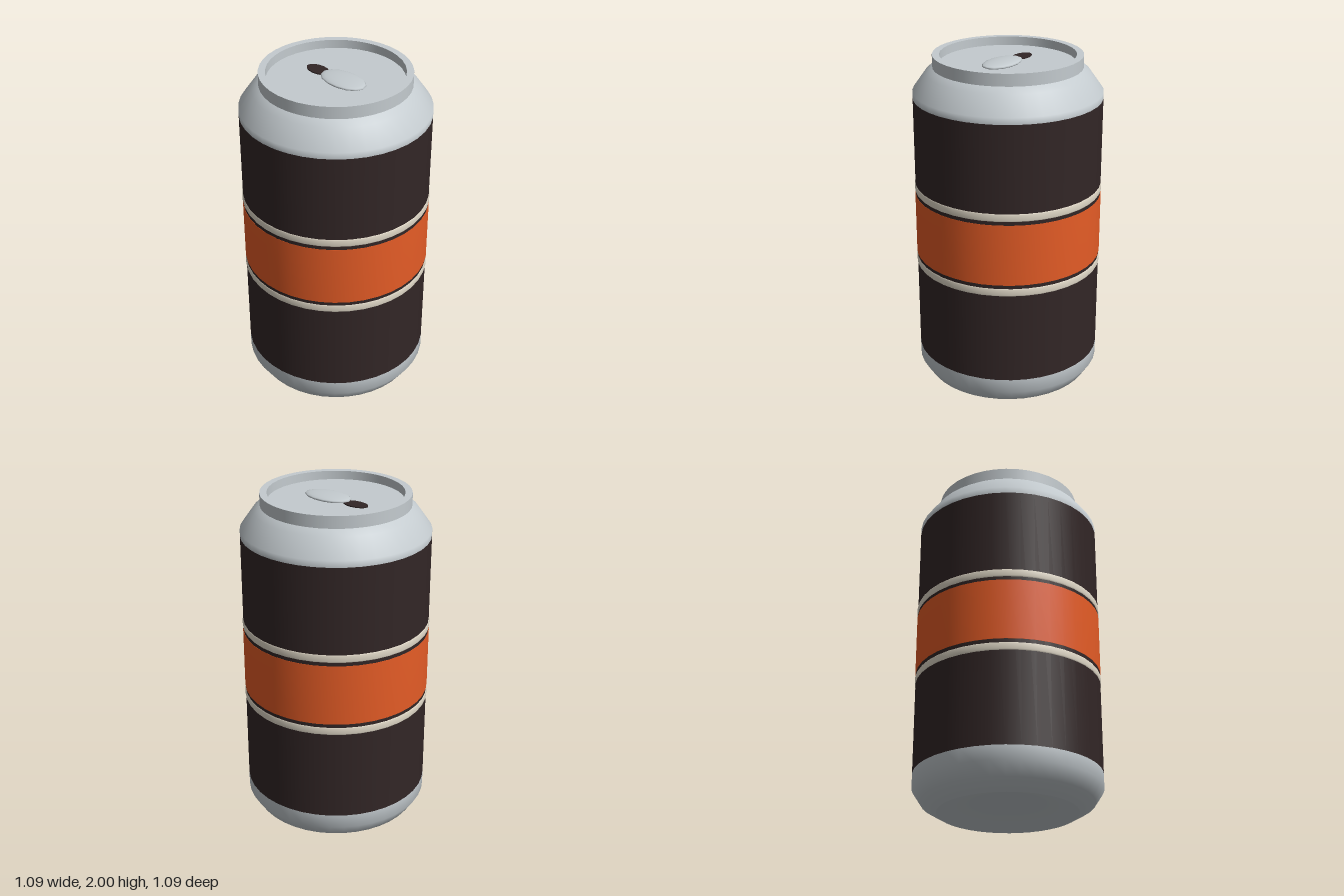
import * as THREE from 'three';

const SEGMENTS = 40;

function material(name, color) {
  const m = new THREE.MeshStandardMaterial({ color });
  m.name = name;
  return m;
}

export function createModel() {
  const can = new THREE.Group();
  can.name = 'drinkCan';

  const silver = material('silver', 0xc4cbcf);
  const dark = material('dark brown', 0x322626);
  const orange = material('orange', 0xe55c26);
  const cream = material('cream', 0xe2dac9);

  function add(name, geometry, mat) {
    const mesh = new THREE.Mesh(geometry, mat);
    mesh.name = name;
    can.add(mesh);
    return mesh;
  }

  // Turned surface from [radius, height] points, smooth along its profile
  function turned(name, profile, mat) {
    const points = profile.map(([r, y]) => new THREE.Vector2(r, y));
    return add(name, new THREE.LatheGeometry(points, SEGMENTS), mat);
  }

  // Concave base and rounded lower edge
  turned('baseDome', [[0, 0.08], [0.15, 0.07], [0.29, 0.04], [0.4, 0]], silver);
  turned('lowerEdge', [[0.4, 0], [0.49, 0.053], [0.54, 0.13], [0.54, 0.212]], silver);

  // Painted wall
  turned('wall', [[0.54, 0.212], [0.54, 1.757]], dark);

  // Wide band with a narrow stripe above and below
  turned('band', [[0.539, 0.822], [0.543, 0.822], [0.543, 1.184], [0.539, 1.184]], orange);
  for (const [name, y] of [['lowerStripe', 0.753], ['upperStripe', 1.204]]) {
    turned(name, [[0.539, y], [0.544, y + 0.008], [0.544, y + 0.04], [0.539, y + 0.048]], cream);
  }

  // Tapered shoulder
  turned('shoulder', [[0.54, 1.757], [0.54, 1.795], [0.465, 1.9], [0.425, 1.93]], silver);

  // Rim, with separate faces for sharp edges
  turned('rimOuter', [[0.425, 1.93], [0.425, 2]], silver);
  turned('rimTop', [[0.425, 2], [0.385, 2]], silver);
  turned('rimInner', [[0.385, 2], [0.385, 1.95]], silver);

  // Recessed lid
  turned('lid', [[0.385, 1.95], [0, 1.95]], silver);

  // Drinking opening
  const opening = add('opening', new THREE.CylinderGeometry(1, 1, 1, 14), dark);
  opening.scale.set(0.08, 0.008, 0.046);
  opening.position.set(-0.14, 1.952, 0);

  // Pull tab
  const tab = add('pullTab', new THREE.SphereGeometry(1, 14, 10), silver);
  tab.scale.set(0.153, 0.018, 0.09);
  tab.position.set(0.057, 1.96, 0);

  return can;
}
